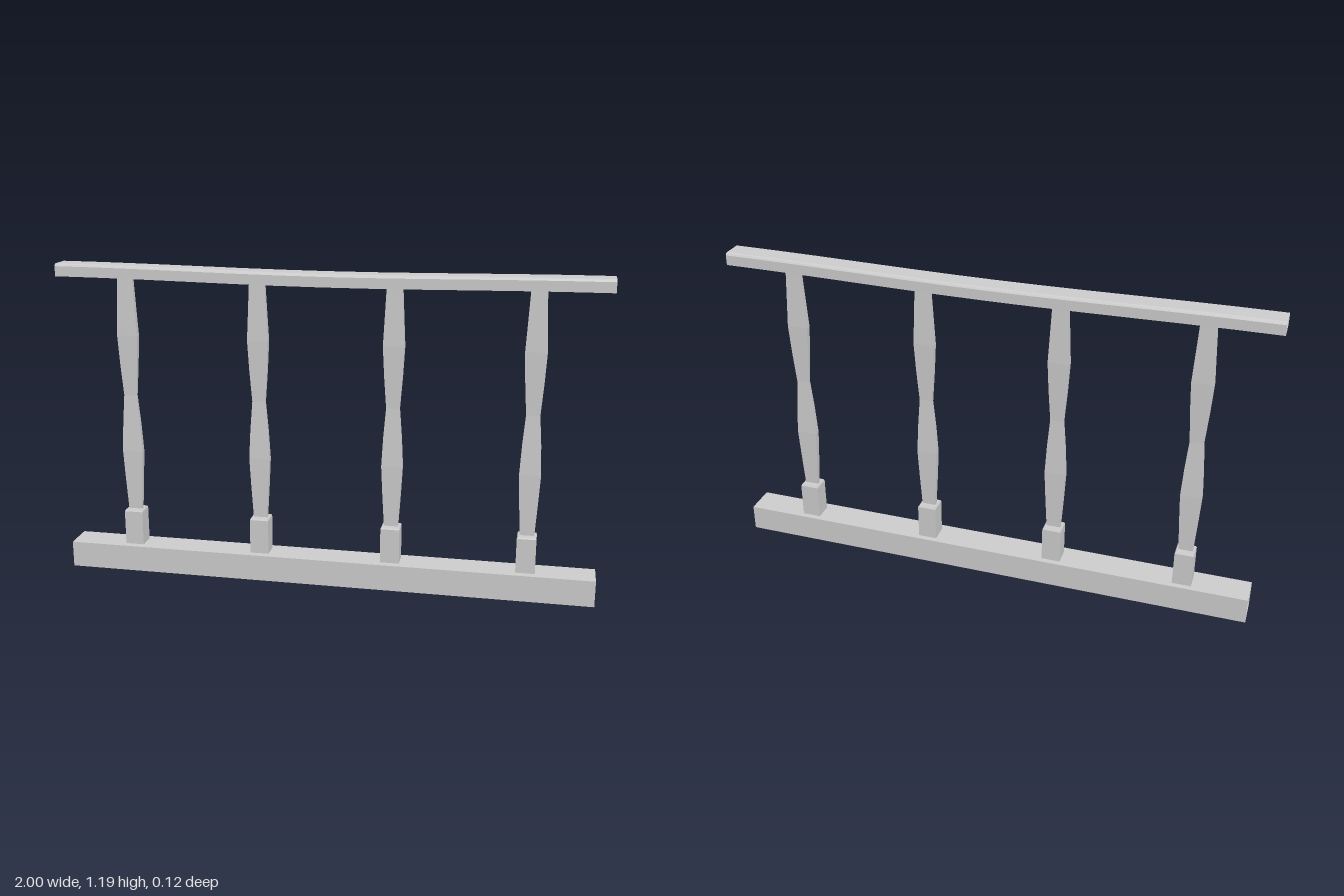
import * as THREE from 'three';

const material = new THREE.MeshStandardMaterial({
  color: 0xcccccc, flatShading: true, side: THREE.DoubleSide,
});

// Skins a list of equal-length rings of points; capped closes both ends.
function loft(name, rings, capped) {
  const pos = [];
  const tri = (a, b, c) => pos.push(...a, ...b, ...c);
  const n = rings[0].length;
  for (let r = 0; r < rings.length - 1; r++) {
    for (let i = 0; i < n; i++) {
      const j = (i + 1) % n;
      const [a, b, c, d] = [rings[r][i], rings[r][j], rings[r + 1][j], rings[r + 1][i]];
      tri(a, b, c);
      tri(a, c, d);
    }
  }
  if (capped) {
    const first = rings[0], last = rings[rings.length - 1];
    for (let i = 1; i < n - 1; i++) {
      tri(first[0], first[i + 1], first[i]);
      tri(last[0], last[i], last[i + 1]);
    }
  }
  const geometry = new THREE.BufferGeometry();
  geometry.setAttribute('position', new THREE.Float32BufferAttribute(pos, 3));
  geometry.computeVertexNormals();
  const mesh = new THREE.Mesh(geometry, material);
  mesh.name = name;
  return mesh;
}

// Horizontal rectangle, ordered counter-clockwise seen from above
const rect = (y, w, d) => [
  [-w / 2, y, d / 2], [w / 2, y, d / 2], [w / 2, y, -d / 2], [-w / 2, y, -d / 2],
];

// Hollow section of [z, y] points swept along x, with open ends
function sweep(name, section, xs, sag) {
  return loft(name, xs.map((x) => section.map(([z, y]) => [x, y - sag(x), z])), false);
}

export function createModel() {
  const group = new THREE.Group();

  // Bottom beam: straight hollow box section
  group.add(sweep('bottomBeam',
    [[0.058, 0], [-0.058, 0], [-0.058, 0.1], [0.058, 0.1]], [-1, 1], () => 0));

  // Handrail: hollow, bevelled top edges, sagging slightly at mid-span
  const xs = Array.from({ length: 13 }, (_, i) => -1 + i / 6);
  group.add(sweep('handrail', [
    [0.059, 1.142], [-0.035, 1.142], [-0.035, 1.179], [-0.031, 1.185],
    [-0.024, 1.188], [0.048, 1.188], [0.055, 1.185], [0.059, 1.179],
  ], xs, (x) => 0.0055 * (1 + Math.cos(Math.PI * x))));

  // Flat balusters with two swellings, each on a square block: [y, width, depth]
  const profile = [
    [0.235, 0.052, 0.016], [0.36, 0.067, 0.019], [0.47, 0.078, 0.022],
    [0.58, 0.067, 0.016], [0.69, 0.05, 0.009], [0.81, 0.067, 0.016],
    [0.92, 0.078, 0.022], [1.03, 0.067, 0.019], [1.145, 0.056, 0.016],
  ];
  const block = [[0.09, 0.071, 0.067], [0.232, 0.071, 0.067], [0.238, 0.064, 0.06]];
  for (let i = 0; i < 4; i++) {
    const post = new THREE.Group();
    post.name = 'post' + (i + 1);
    post.add(loft('baluster', profile.map((p) => rect(...p)), true));
    post.add(loft('balusterBlock', block.map((p) => rect(...p)), true));
    post.position.set(-0.753 + i * 0.5, 0, -0.003);
    group.add(post);
  }
  return group;
}
